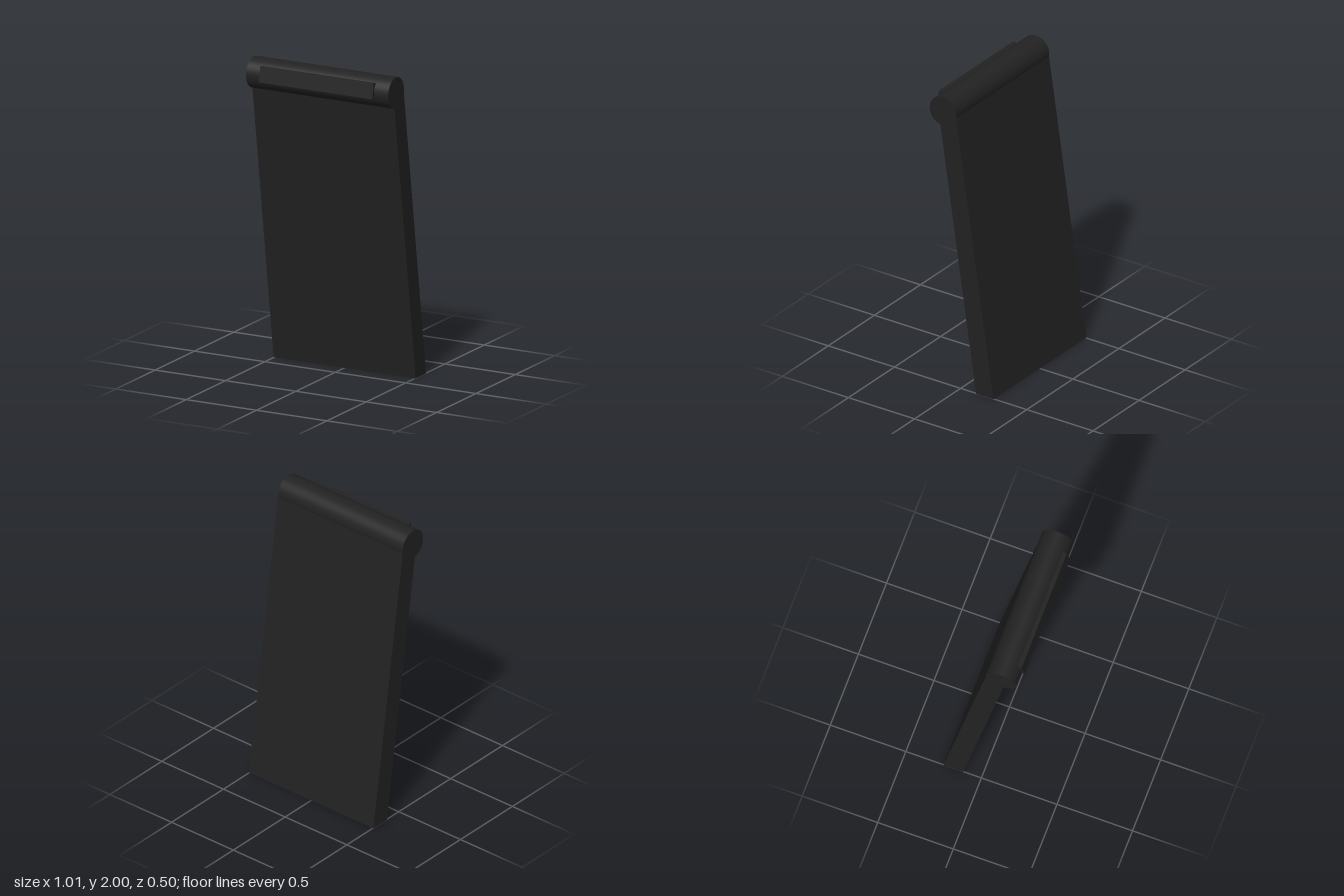
import * as THREE from 'three';

const WIDTH = 1.01;

export function createModel() {
  const group = new THREE.Group();
  const material = new THREE.MeshStandardMaterial({ color: 0x222222 });

  const add = (name, geometry) => {
    const mesh = new THREE.Mesh(geometry, material);
    mesh.name = name;
    group.add(mesh);
    return mesh;
  };

  // Leaning panel: side profile as (z, y), extruded across the width
  const profile = new THREE.Shape([
    [-0.25, 0], [-0.12, 0], [0.155, 1.84], [0.13, 1.9], [0.034, 1.9],
  ].map(([z, y]) => new THREE.Vector2(z, y)));
  const panel = new THREE.ExtrudeGeometry(profile, { depth: WIDTH, bevelEnabled: false });
  panel.translate(0, 0, -WIDTH / 2).rotateY(-Math.PI / 2);
  add('leaningPanel', panel);

  // Round roll along the top edge
  const roll = new THREE.CylinderGeometry(0.1, 0.1, WIDTH, 64);
  roll.rotateZ(Math.PI / 2);
  add('topRoll', roll).position.set(0, 1.9, 0.13);

  // Tilted plate set into the front of the roll
  const plate = add('frontPlate', new THREE.BoxGeometry(0.806, 0.101, 0.06));
  plate.position.set(0, 1.917, 0.211);
  plate.rotation.x = -0.2;

  return group;
}
